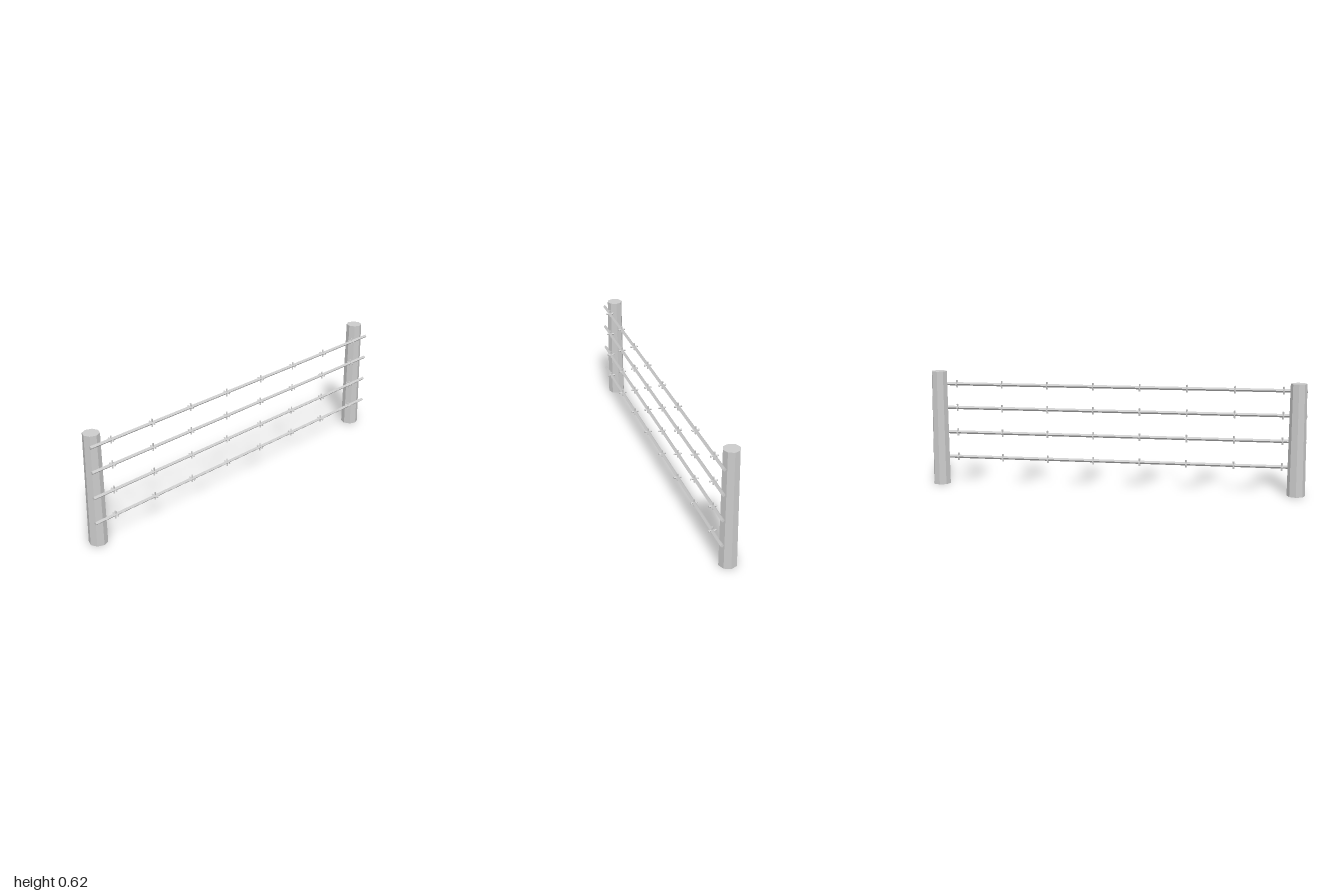
import * as THREE from 'three';

export function createModel() {
  const fence = new THREE.Group();
  fence.name = 'wireFence';
  const material = new THREE.MeshStandardMaterial({ color: 0xcccccc, flatShading: true });

  function rod(name, topRadius, bottomRadius, length, sides, x, y, z) {
    const mesh = new THREE.Mesh(
      new THREE.CylinderGeometry(topRadius, bottomRadius, length, sides), material);
    mesh.name = name;
    mesh.position.set(x, y, z);
    fence.add(mesh);
    return mesh;
  }

  // Tapered eight-sided posts, the back one slightly taller
  const postX = -0.012;
  rod('frontPost', 0.042, 0.047, 0.585, 8, postX, 0.585 / 2, 0.953);
  rod('backPost', 0.042, 0.047, 0.615, 8, postX, 0.615 / 2, -0.953);

  // Four wires, each with eight crossed barbs
  const wireX = 0.0375;
  for (const y of [0.14, 0.276, 0.411, 0.541]) {
    rod('wire', 0.009, 0.009, 2, 4, wireX, y, 0).rotation.x = Math.PI / 2;
    for (let i = 0; i < 8; i++) {
      const z = 0.878 - i * 0.25;
      rod('uprightBarb', 0.005, 0.005, 0.04, 4, wireX, y, z);
      rod('crossBarb', 0.005, 0.005, 0.04, 4, wireX, y, z).rotation.z = Math.PI / 2;
    }
  }
  return fence;
}
